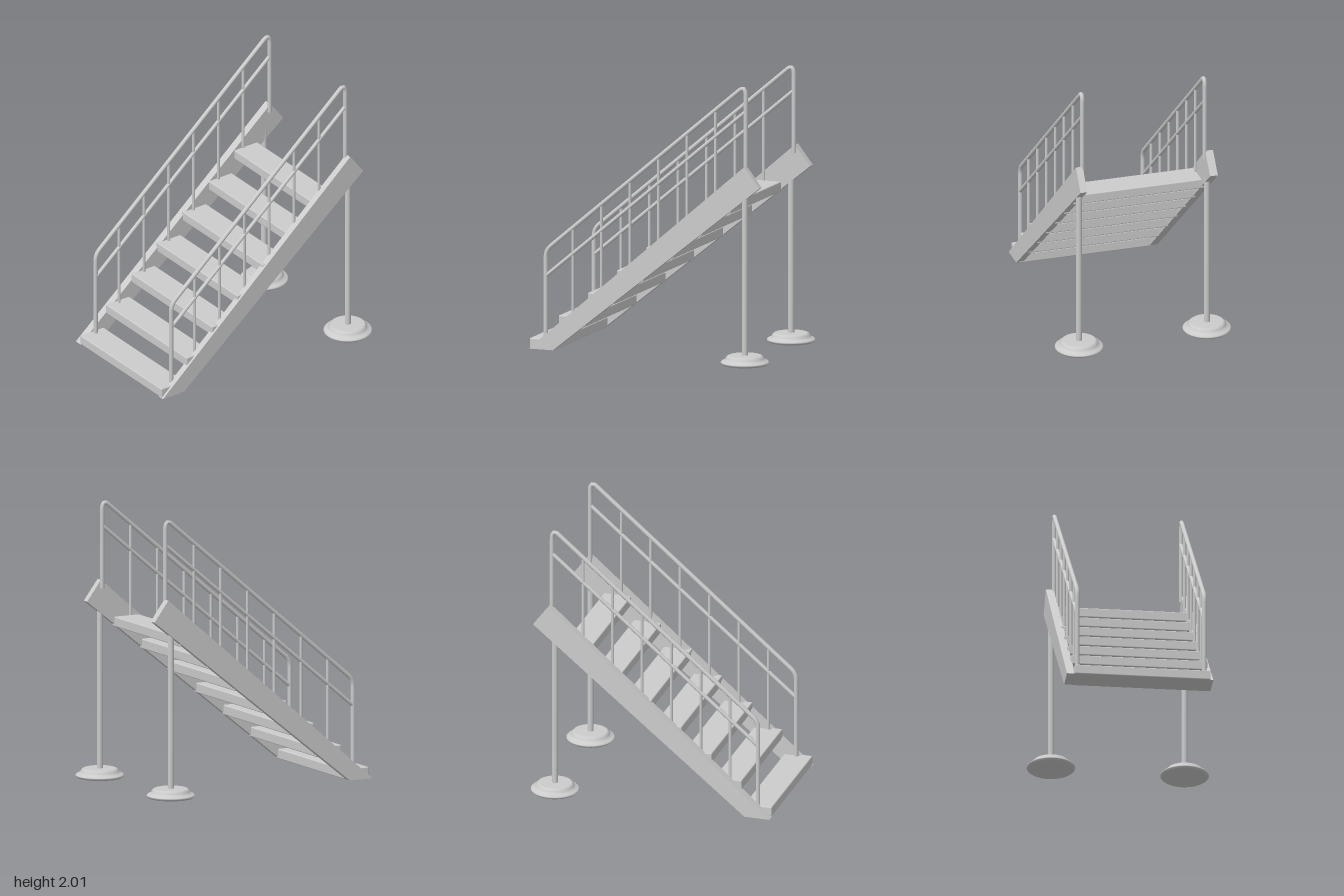
import * as THREE from 'three';
import { RoundedBoxGeometry } from 'three/addons/geometries/RoundedBoxGeometry.js';

const grey = new THREE.MeshStandardMaterial({ color: 0xcccccc });

function add(parent, name, geometry, x = 0, y = 0, z = 0) {
  const mesh = new THREE.Mesh(geometry, grey);
  mesh.name = name;
  mesh.position.set(x, y, z);
  parent.add(mesh);
  return mesh;
}

// Straight round bar between two points, with closed ends
function bar(parent, name, from, to, radius, sides = 16) {
  const dir = to.clone().sub(from);
  const mesh = add(parent, name, new THREE.CylinderGeometry(radius, radius, dir.length(), sides));
  mesh.position.copy(from).add(to).multiplyScalar(0.5);
  mesh.quaternion.setFromUnitVectors(new THREE.Vector3(0, 1, 0), dir.normalize());
}

// Sloping side board; its centre line moves from xBottom to xTop
function stringerGeometry(xBottom, xTop, thickness) {
  const shape = new THREE.Shape([
    new THREE.Vector2(0.917, 0.008), new THREE.Vector2(0.73, 0.008),
    new THREE.Vector2(-0.86, 1.29), new THREE.Vector2(-0.745, 1.44),
  ].reverse());
  const geometry = new THREE.ExtrudeGeometry(shape, { depth: thickness, bevelEnabled: false });
  geometry.rotateY(-Math.PI / 2).translate(thickness / 2, 0, 0);
  const p = geometry.attributes.position;
  for (let i = 0; i < p.count; i++) {
    p.setX(i, p.getX(i) + THREE.MathUtils.lerp(xBottom, xTop, p.getY(i) / 1.44));
  }
  geometry.computeVertexNormals();
  return geometry;
}

// Handrail with rounded corners, mid rail and balusters
function railing(x) {
  const group = new THREE.Group();
  const at = (y, z) => new THREE.Vector3(x, y, z);
  const zFront = 0.805, zBack = -0.737, slope = 0.846;
  const topY = z => 0.722 + (zFront - z) * slope;
  const midY = z => 0.535 + (zFront - z) * 0.842;

  const path = new THREE.CurvePath();
  const points = [
    at(0.06, zFront), at(0.67, zFront), at(topY(zFront), zFront), at(topY(0.765), 0.765),
    at(topY(-0.68), -0.68), at(topY(zBack) + 0.005, zBack), at(1.94, zBack), at(1.38, zBack),
  ];
  path.add(new THREE.LineCurve3(points[0], points[1]));
  path.add(new THREE.QuadraticBezierCurve3(points[1], points[2], points[3]));
  path.add(new THREE.LineCurve3(points[3], points[4]));
  path.add(new THREE.QuadraticBezierCurve3(points[4], points[5], points[6]));
  path.add(new THREE.LineCurve3(points[6], points[7]));
  add(group, 'handrail', new THREE.TubeGeometry(path, 200, 0.016, 14, false));

  bar(group, 'midRail', at(midY(zFront), zFront), at(midY(zBack), zBack), 0.014);
  for (let i = 0; i < 6; i++) {
    const z = 0.597 - i * 0.22;
    bar(group, 'baluster', at(0.22 + i * 0.189, z), at(topY(z), z), 0.011, 12);
  }
  return group;
}

// Round foot plate with a raised tier, carrying a tall post
function support(x, z) {
  const group = new THREE.Group();
  const profile = [
    [0, 0.003], [0.16, 0.003], [0.174, 0.014], [0.174, 0.022], [0.165, 0.03], [0.14, 0.035],
    [0.138, 0.052], [0.125, 0.066], [0.115, 0.07], [0, 0.07],
  ].map(([r, y]) => new THREE.Vector2(r, y));
  add(group, 'footPlate', new THREE.LatheGeometry(profile, 40));
  add(group, 'post', new THREE.CylinderGeometry(0.022, 0.022, 1.2, 20), 0, 0.65, 0);
  group.position.set(x, 0, z);
  return group;
}

export function createModel() {
  const model = new THREE.Group();
  model.name = 'staircase';

  // Seven open treads
  for (let i = 0; i < 7; i++) {
    add(model, 'tread', new RoundedBoxGeometry(0.98, 0.072, 0.205, 2, 0.008),
      0, 0.046 + i * 0.18, 0.8145 - i * 0.2245);
  }

  // Side boards, the right one slightly askew
  add(model, 'leftStringer', stringerGeometry(0.483, 0.48, 0.05));
  add(model, 'rightStringer', stringerGeometry(-0.515, -0.487, 0.058));

  for (const [name, x] of [['leftRailing', 0.455], ['rightRailing', -0.458]]) {
    const rail = railing(x);
    rail.name = name;
    model.add(rail);
  }

  for (const [name, x, z] of [['leftSupport', 0.481, -0.741], ['rightSupport', -0.483, -0.706]]) {
    const foot = support(x, z);
    foot.name = name;
    model.add(foot);
  }
  return model;
}
